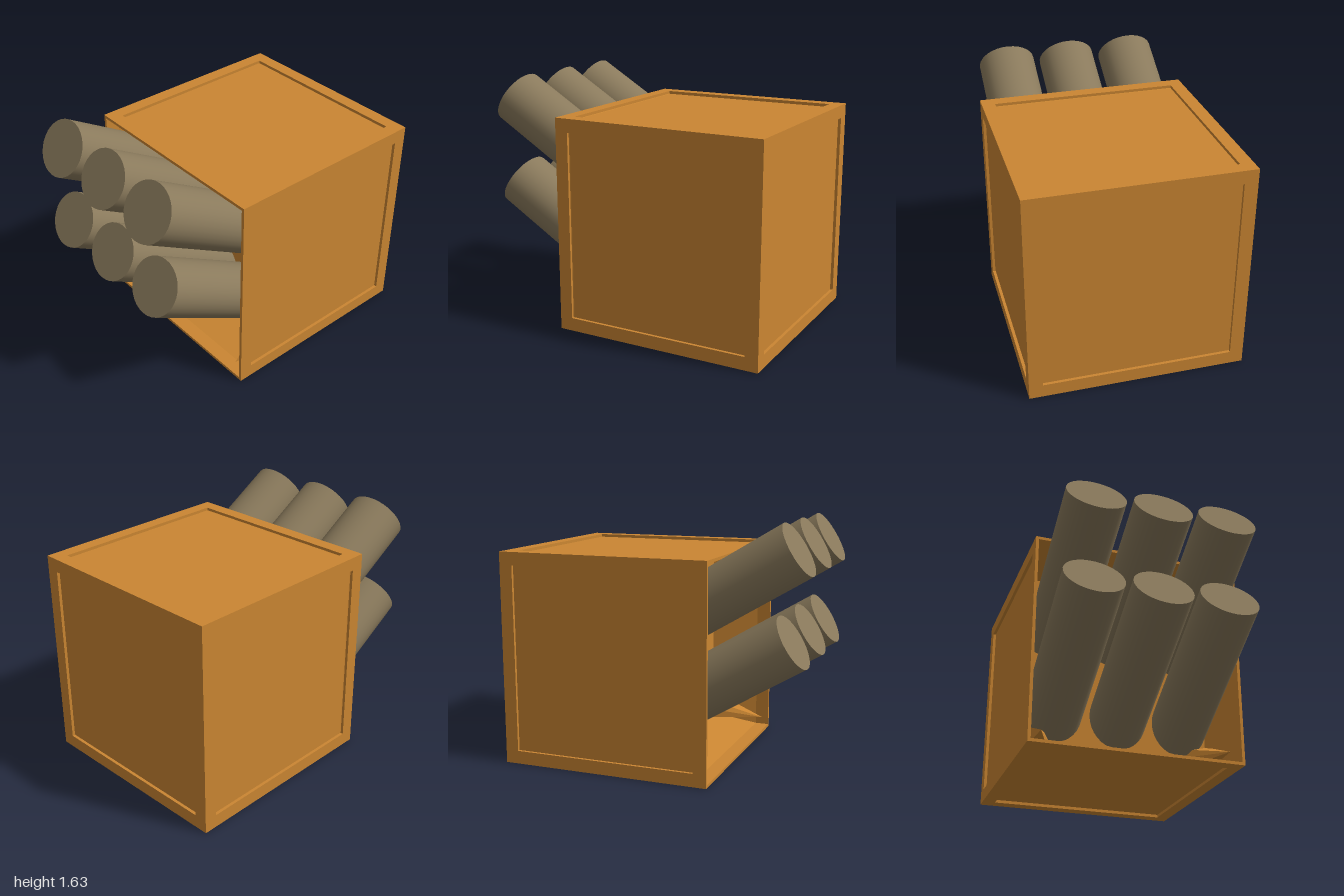
import * as THREE from 'three';
import { ConvexGeometry } from 'three/addons/geometries/ConvexGeometry.js';

const HALF = 0.708, INNER = 0.62, RECESS = 0.02, MID_Z = HALF - 1;

export function createModel() {
  const model = new THREE.Group();
  const wood = new THREE.MeshStandardMaterial({ color: 0xcb8632, flatShading: true, side: THREE.DoubleSide });
  const tubeMat = new THREE.MeshStandardMaterial({ color: 0x8a7a5c });

  const add = (parent, name, geometry, material) => {
    const mesh = new THREE.Mesh(geometry, material);
    mesh.name = name;
    parent.add(mesh);
    return mesh;
  };

  // Crate: five sides, each a square frame around a recessed panel
  const crate = new THREE.Group();
  crate.name = 'crate';
  crate.position.set(0, HALF, MID_Z);
  model.add(crate);

  const square = (h) => [[-h, -h], [h, -h], [h, h], [-h, h]].map(([x, y]) => new THREE.Vector2(x, y));
  const frameShape = new THREE.Shape(square(HALF));
  frameShape.holes.push(new THREE.Path(square(INNER).reverse()));
  const frameGeo = new THREE.ExtrudeGeometry(frameShape, { depth: RECESS, bevelEnabled: false });
  frameGeo.translate(0, 0, HALF - RECESS);
  const panelGeo = new THREE.PlaneGeometry(INNER * 2, INNER * 2);
  panelGeo.translate(0, 0, HALF - RECESS);

  const sides = {
    left: [0, Math.PI / 2], right: [0, -Math.PI / 2], back: [0, Math.PI],
    top: [-Math.PI / 2, 0], bottom: [Math.PI / 2, 0],
  };
  for (const [name, [rx, ry]] of Object.entries(sides)) {
    const side = new THREE.Group();
    side.name = name + 'Side';
    side.rotation.set(rx, ry, 0);
    add(side, name + 'Frame', frameGeo, wood);
    add(side, name + 'Panel', panelGeo, wood);
    crate.add(side);
  }

  // Tapered front pocket with its rear wall at z = 0
  const depth = HALF + MID_Z;
  const pocketGeo = new THREE.CylinderGeometry(HALF * Math.SQRT2, INNER * Math.SQRT2, depth, 4, 1, true);
  pocketGeo.rotateY(Math.PI / 4).rotateX(Math.PI / 2);
  add(model, 'pocketWalls', pocketGeo, wood).position.set(0, HALF, depth / 2);
  add(model, 'pocketBack', new THREE.PlaneGeometry(INNER * 2, INNER * 2), wood).position.y = HALF;

  // Corner wedges at the bottom of the pocket
  for (const s of [-1, 1]) {
    const points = [
      [0.62, 0.09, 0.39], [0.64, 0.09, 0], [0.64, 0.25, 0],
      [0.5, 0.22, 0], [0.47, 0.16, 0], [0.47, 0.09, 0],
    ].map(([x, y, z]) => new THREE.Vector3(s * x, y, z));
    add(model, s > 0 ? 'leftWedge' : 'rightWedge', new ConvexGeometry(points), wood);
  }

  // Two rows of three tubes, tilted upward toward the front
  const length = 1.13, tilt = THREE.MathUtils.degToRad(31);
  const tubeGeo = new THREE.CylinderGeometry(0.196, 0.196, length, 32);
  tubeGeo.scale(1, 1, 0.94).translate(0, -length / 2, 0).rotateX(Math.PI / 2 - tilt);
  for (const [row, y, z] of [['upper', 1.475, 0.905], ['lower', 0.91, 0.882]]) {
    [-0.45, -0.006, 0.433].forEach((x, i) => {
      add(model, `${row}Tube${i + 1}`, tubeGeo, tubeMat).position.set(x, y, z);
    });
  }
  return model;
}
